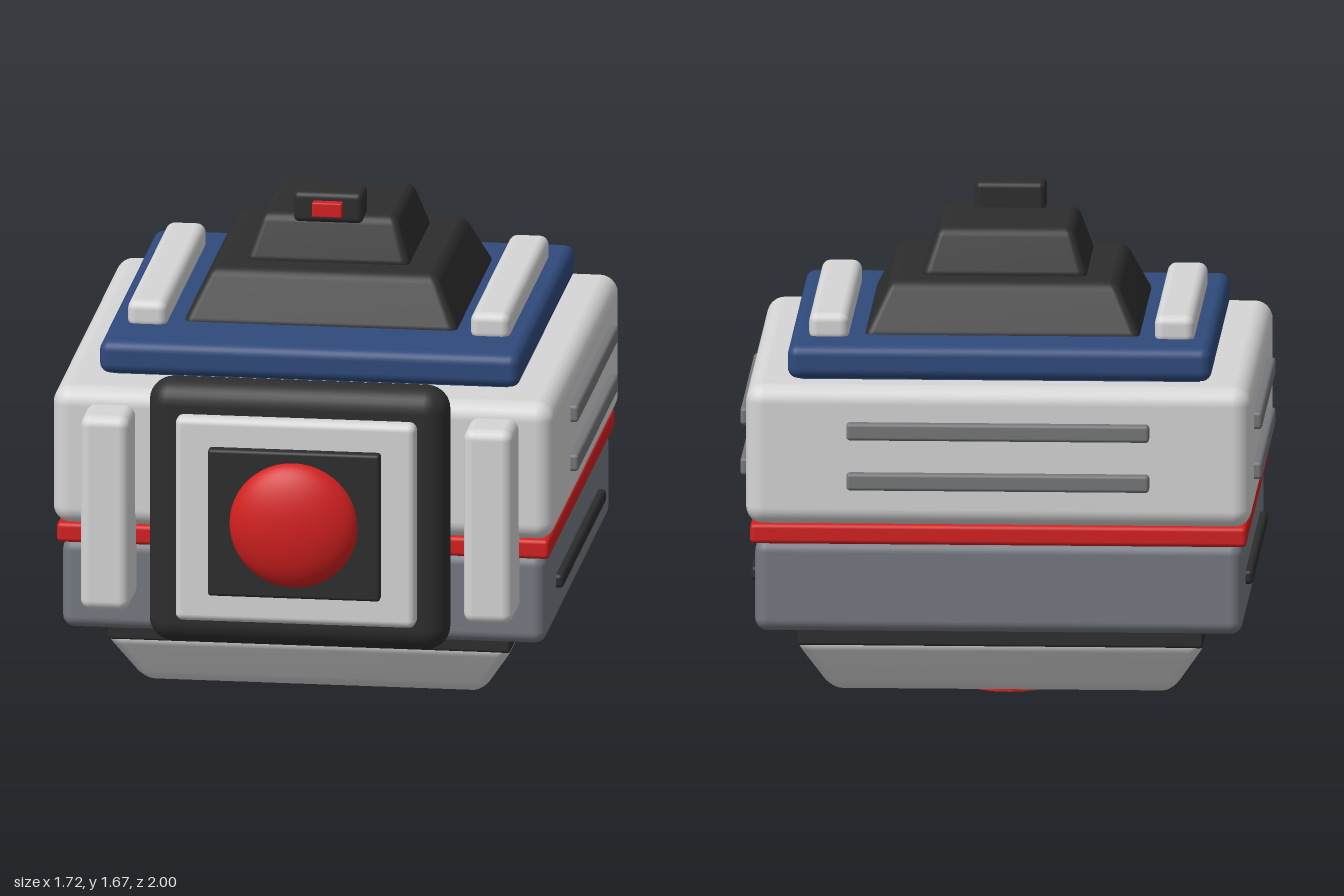
import * as THREE from 'three';
import { RoundedBoxGeometry } from 'three/addons/geometries/RoundedBoxGeometry.js';
import { mergeVertices } from 'three/addons/utils/BufferGeometryUtils.js';

function paint(name, color) {
  const m = new THREE.MeshStandardMaterial({ color });
  m.name = name;
  return m;
}

export function createModel() {
  const white = paint('lightGrey', 0xd6d6d6);
  const grey = paint('slateGrey', 0x757981);
  const ventGrey = paint('ventGrey', 0x76777a);
  const black = paint('charcoal', 0x2d2d2d);
  const blue = paint('navyBlue', 0x2f4a7c);
  const red = paint('signalRed', 0xd42020);

  const model = new THREE.Group();
  model.name = 'boxRobotHead';

  function add(name, geometry, material, x = 0, y = 0, z = 0) {
    const mesh = new THREE.Mesh(geometry, material);
    mesh.name = name;
    mesh.position.set(x, y, z);
    model.add(mesh);
    return mesh;
  }

  // Rounded block given by its extents [min, max] on each axis
  function block(name, material, [x0, x1], [y0, y1], [z0, z1], r) {
    const g = new RoundedBoxGeometry(x1 - x0, y1 - y0, z1 - z0, 4, r);
    return add(name, g, material, (x0 + x1) / 2, (y0 + y1) / 2, (z0 + z1) / 2);
  }

  // Rounded block whose plan shrinks linearly towards its top or bottom
  function taperedBlock(name, material, half, [y0, y1], z, r, bottomScale, topScale) {
    const h = y1 - y0;
    let g = new RoundedBoxGeometry(half * 2, h, half * 2, 4, r);
    const p = g.attributes.position;
    for (let i = 0; i < p.count; i++) {
      const s = THREE.MathUtils.lerp(bottomScale, topScale, p.getY(i) / h + 0.5);
      p.setX(i, p.getX(i) * s);
      p.setZ(i, p.getZ(i) * s);
    }
    g.deleteAttribute('normal');
    g.deleteAttribute('uv');
    g = mergeVertices(g, 1e-5);
    g.computeVertexNormals();
    return add(name, g, material, 0, (y0 + y1) / 2, z);
  }

  // Main body, stacked from the top down
  block('upperBody', white, [-0.835, 0.835], [0.68, 1.15], [-0.97, 0.7], 0.06);
  block('redBand', red, [-0.82, 0.82], [0.618, 0.685], [-0.957, 0.685], 0.015);
  block('lowerBody', grey, [-0.805, 0.805], [0.32, 0.625], [-0.94, 0.67], 0.04);
  block('neck', black, [-0.67, 0.67], [0.25, 0.34], [-0.806, 0.536], 0.01);
  taperedBlock('chinTray', white, 0.685, [0.083, 0.272], -0.135, 0.04, 0.82, 1);
  block('basePlate', black, [-0.267, 0.267], [0.033, 0.1], [-0.402, 0.132], 0.01);
  add('baseButton', new THREE.CylinderGeometry(0.134, 0.134, 0.05, 48), red, 0, 0.025, -0.135);

  // Roof plate and stepped turret
  block('roofPlate', blue, [-0.7, 0.7], [1.155, 1.268], [-0.873, 0.53], 0.035);
  block('roofSpacer', blue, [-0.66, 0.66], [1.12, 1.17], [-0.83, 0.49], 0.01);
  taperedBlock('turretBase', black, 0.46, [1.25, 1.435], -0.205, 0.03, 1.01, 0.81);
  taperedBlock('turretTop', black, 0.276, [1.42, 1.587], -0.205, 0.03, 1.01, 0.8);
  block('turretLampHousing', black, [-0.116, 0.116], [1.568, 1.672], [-0.066, 0.06], 0.02);
  block('turretLamp', red, [-0.05, 0.05], [1.595, 1.645], [0.03, 0.09], 0.005);

  // Front eye: frame, panel, socket and dome
  block('eyeFrame', black, [-0.5, 0.5], [0.32, 1.22], [0.67, 0.834], 0.08);
  block('eyePanel', white, [-0.4, 0.4], [0.418, 1.116], [0.76, 0.881], 0.025);
  block('eyeSocket', black, [-0.287, 0.287], [0.517, 1.02], [0.84, 0.915], 0.012);
  const dome = new THREE.SphereGeometry(0.215, 48, 24, 0, Math.PI * 2, 0, Math.PI / 2);
  dome.rotateX(Math.PI / 2);
  dome.scale(1, 1, 0.45);
  add('eyeDome', dome, red, 0, 0.77, 0.903);

  // Mirrored pillars, roof rails and side vents
  for (const side of [-1, 1]) {
    const span = (a, b) => (side > 0 ? [a, b] : [-b, -a]);
    block('frontPillar', white, span(0.556, 0.72), [0.435, 1.1], [0.6, 0.86], 0.035);
    block('roofRail', white, span(0.505, 0.637), [1.25, 1.345], [-0.7, 0.3], 0.03);
    for (const y of [0.835, 1.003]) {
      block('sideVent', ventGrey, span(0.8, 0.862), [y - 0.029, y + 0.029], [-0.735, 0.267], 0.012);
    }
    block('lowerSideVent', black, span(0.77, 0.83), [0.441, 0.489], [-0.67, 0.402], 0.015);
  }

  // Rear vents
  for (const y of [0.835, 1.003]) {
    block('rearVent', ventGrey, [-0.5, 0.5], [y - 0.029, y + 0.029], [-1, -0.93], 0.012);
  }

  return model;
}
